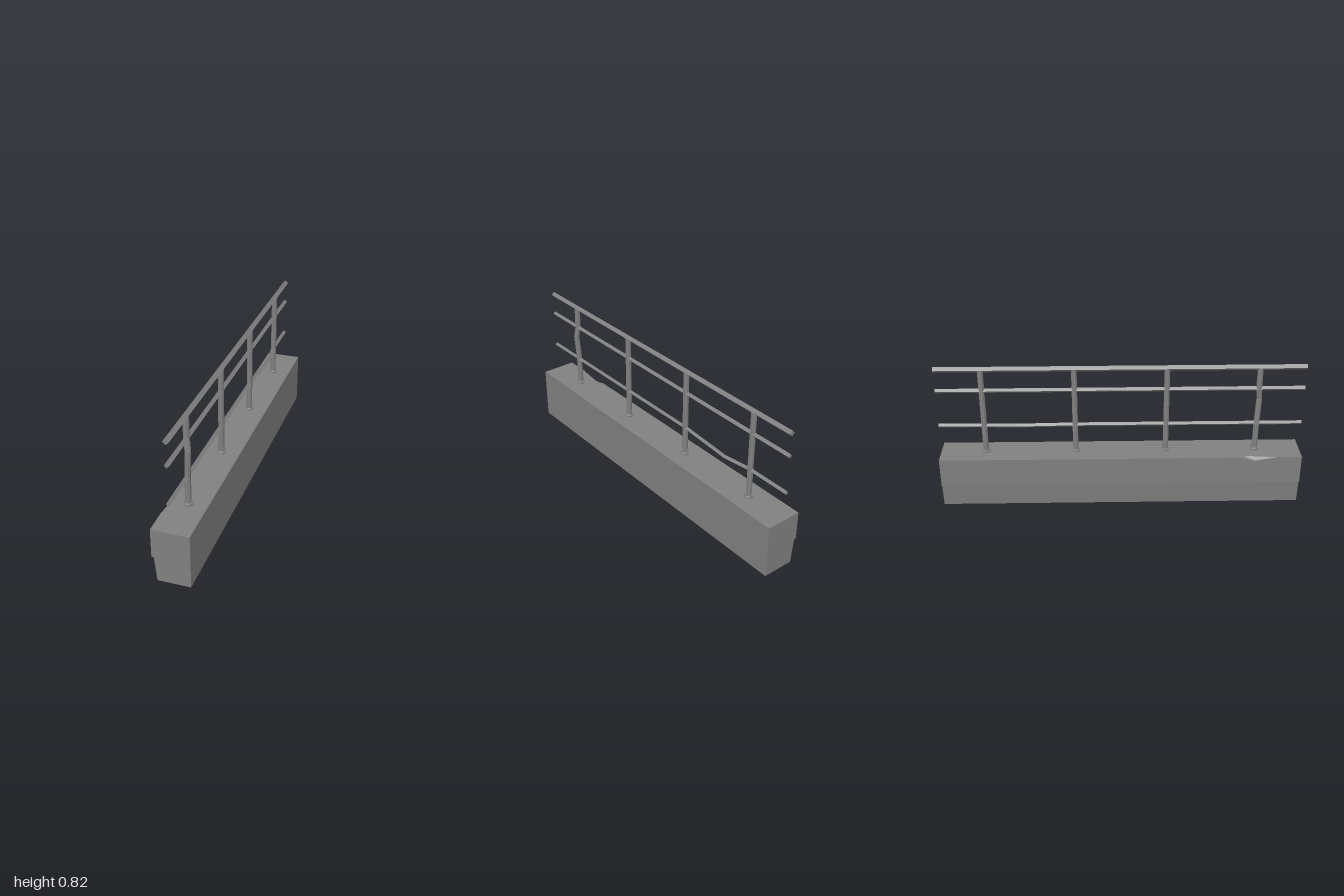
import * as THREE from 'three';

// Flat-faced solid through rings of [x, y, z] points, each running
// counter-clockwise about the direction of travel; ends are capped.
function loft(rings) {
  const pos = [];
  const tri = (a, b, c) => {
    const t = new THREE.Triangle(...[a, b, c].map(p => new THREE.Vector3(...p)));
    if (t.getArea() > 1e-9) pos.push(...a, ...b, ...c);
  };
  const n = rings[0].length;
  for (let i = 0; i < rings.length - 1; i++) {
    for (let j = 0; j < n; j++) {
      const k = (j + 1) % n;
      tri(rings[i][j], rings[i][k], rings[i + 1][k]);
      tri(rings[i][j], rings[i + 1][k], rings[i + 1][j]);
    }
  }
  const first = rings[0], last = rings[rings.length - 1];
  for (let j = 1; j < n - 1; j++) {
    tri(first[0], first[j + 1], first[j]);
    tri(last[0], last[j], last[j + 1]);
  }
  const geo = new THREE.BufferGeometry();
  geo.setAttribute('position', new THREE.Float32BufferAttribute(pos, 3));
  geo.computeVertexNormals();
  return geo;
}

const circle = (sides, fn) =>
  Array.from({ length: sides }, (_, i) => fn(i * 2 * Math.PI / sides));

// Diamond-section bar along z through [x, y, z] points
const railGeometry = (r, points) => loft(points.map(([x, y, z]) =>
  circle(4, a => [x + r * Math.cos(a), y + r * Math.sin(a), z])));

// Upright round bar through [x, y, z, radius] points
const uprightGeometry = (sides, points, turn = 0) => loft(points.map(([x, y, z, r]) =>
  circle(sides, a => [x + r * Math.sin(a + turn), y, z + r * Math.cos(a + turn)])));

export function createModel() {
  const model = new THREE.Group();
  model.name = 'railingOnCurb';
  const grey = new THREE.MeshStandardMaterial({ color: 0x808080 });
  grey.name = 'grey';

  const add = (name, geometry, parent = model) => {
    const mesh = new THREE.Mesh(geometry, grey);
    mesh.name = name;
    parent.add(mesh);
    return mesh;
  };

  // Curb with an undercut side; [z, top edge x, side edge y] gives the chipped edge
  const stations = [
    [-1, -0.1, 0.3], [0.65, -0.1, 0.3], [0.68, -0.08, 0.293],
    [0.74, -0.087, 0.28], [0.86, -0.1, 0.3], [1, -0.1, 0.3],
  ];
  add('curb', loft(stations.map(([z, topX, sideY]) => [
    [0.1, 0.3, z], [topX, 0.3, z], [-0.1, sideY, z], [-0.1, 0.138, z],
    [-0.088, 0.138, z], [-0.075, 0, z], [0.1, 0, z],
  ])));

  // Horizontal rails, the lowest one dented
  add('topRail', railGeometry(0.016, [[0, 0.801, -1], [0, 0.801, 1]]));
  add('middleRail', railGeometry(0.013, [[0, 0.676, -1], [0, 0.676, 1]]));
  add('lowerRail', railGeometry(0.012, [
    [0, 0.465, -1], [0, 0.465, -0.75], [0.012, 0.454, -0.58],
    [0, 0.465, -0.25], [0, 0.465, 1],
  ]));

  // Posts with foot plates, the front one bent
  for (const z of [-0.75, -0.25, 0.25, 0.75]) {
    const post = new THREE.Group();
    post.name = 'post';
    post.position.z = z;
    model.add(post);
    const r = 0.016;
    const bend = z > 0.5 ? [[0, 0.46, 0, r], [0.008, 0.615, 0.007, r], [0, 0.68, 0, r]] : [];
    add('postShaft', uprightGeometry(8, [[0, 0.3, 0, r], ...bend, [0, 0.8, 0, r]], Math.PI / 8), post);
    add('postFoot', uprightGeometry(6, [
      [0, 0.3, 0, 0.025], [0, 0.308, 0, 0.025], [0, 0.313, 0, 0.022],
    ], Math.PI / 2), post);
  }
  return model;
}
